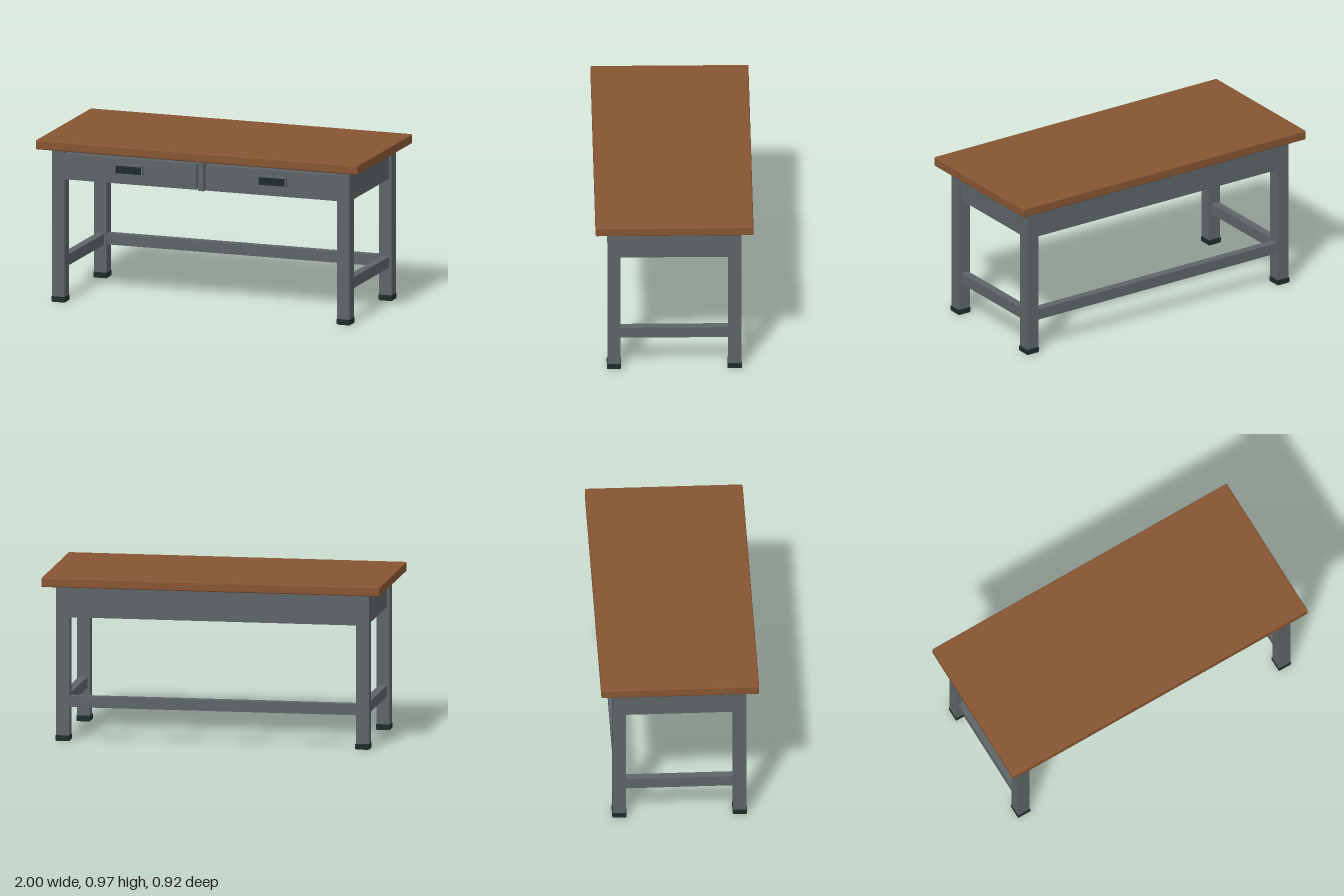
import * as THREE from 'three';
import { RoundedBoxGeometry } from 'three/addons/geometries/RoundedBoxGeometry.js';

export function createModel() {
  const group = new THREE.Group();
  const material = (name, color) => {
    const m = new THREE.MeshStandardMaterial({ color });
    m.name = name;
    return m;
  };
  const wood = material('brown wood', 0x875532);
  const steel = material('grey steel', 0x5d6467);
  const dark = material('dark rubber', 0x1f2b2b);

  const add = (name, geometry, mat, x = 0, y = 0, z = 0) => {
    const mesh = new THREE.Mesh(geometry, mat);
    mesh.name = name;
    mesh.position.set(x, y, z);
    group.add(mesh);
    return mesh;
  };
  // Box given by its limits on each axis
  const box = (name, mat, [x0, x1], [y0, y1], [z0, z1]) =>
    add(name, new THREE.BoxGeometry(x1 - x0, y1 - y0, z1 - z0), mat,
      (x0 + x1) / 2, (y0 + y1) / 2, (z0 + z1) / 2);

  // Worktop with softened edges
  add('worktop', new RoundedBoxGeometry(2, 0.056, 0.92, 3, 0.008), wood, 0, 0.945, 0);

  // Legs and their rubber feet
  for (const x of [-0.885, 0.885]) {
    for (const z of [-0.351, 0.351]) {
      add('leg', new THREE.BoxGeometry(0.077, 0.873, 0.077), steel, x, 0.4665, z);
      add('foot', new THREE.BoxGeometry(0.083, 0.03, 0.083), dark, x, 0.019, z);
      add('footPad', new THREE.BoxGeometry(0.074, 0.008, 0.074), dark, x, 0.004, z);
    }
    // Side apron and lower side stretcher
    box('sideApron', steel, [x - 0.025, x + 0.025], [0.73, 0.911], [-0.34, 0.36]);
    box('sideStretcher', steel, [x - 0.025, x + 0.025], [0.2, 0.265], [-0.32, 0.32]);
  }

  // Rails along the back and front
  box('backApron', steel, [-0.885, 0.885], [0.73, 0.918], [-0.376, -0.326]);
  box('backStretcher', steel, [-0.85, 0.85], [0.2, 0.265], [-0.376, -0.326]);
  box('frontRail', steel, [-0.87, 0.87], [0.896, 0.911], [0.3, 0.38]);
  box('drawerDivider', steel, [-0.017, 0.017], [0.73, 0.911], [-0.326, 0.386]);

  // Handle surround with a rectangular opening
  const surround = new THREE.Shape([[-0.09, -0.032], [0.09, -0.032], [0.09, 0.032], [-0.09, 0.032]]
    .map(([x, y]) => new THREE.Vector2(x, y)));
  surround.holes.push(new THREE.Path([[-0.08, -0.024], [-0.08, 0.024], [0.08, 0.024], [0.08, -0.024]]
    .map(([x, y]) => new THREE.Vector2(x, y))));
  const surroundGeometry = new THREE.ExtrudeGeometry(surround, { depth: 0.018, bevelEnabled: false });
  const lockGeometry = new THREE.CylinderGeometry(0.009, 0.009, 0.014, 20).rotateX(Math.PI / 2);

  // Drawers: body, raised front, recessed pull and lock
  for (const side of [-1, 1]) {
    const span = (a, b) => (side > 0 ? [a, b] : [-b, -a]);
    box('drawerBody', steel, span(0.03, 0.862), [0.74, 0.885], [-0.326, 0.365]);
    box('drawerFront', steel, span(0.028, 0.848), [0.736, 0.889], [0.365, 0.388]);
    const x = side * 0.445;
    add('handleSurround', surroundGeometry, steel, x, 0.822, 0.388);
    box('handlePull', dark, [x - 0.08, x + 0.08], [0.798, 0.846], [0.387, 0.395]);
    add('lock', lockGeometry, steel, x, 0.871, 0.394);
  }

  return group;
}
